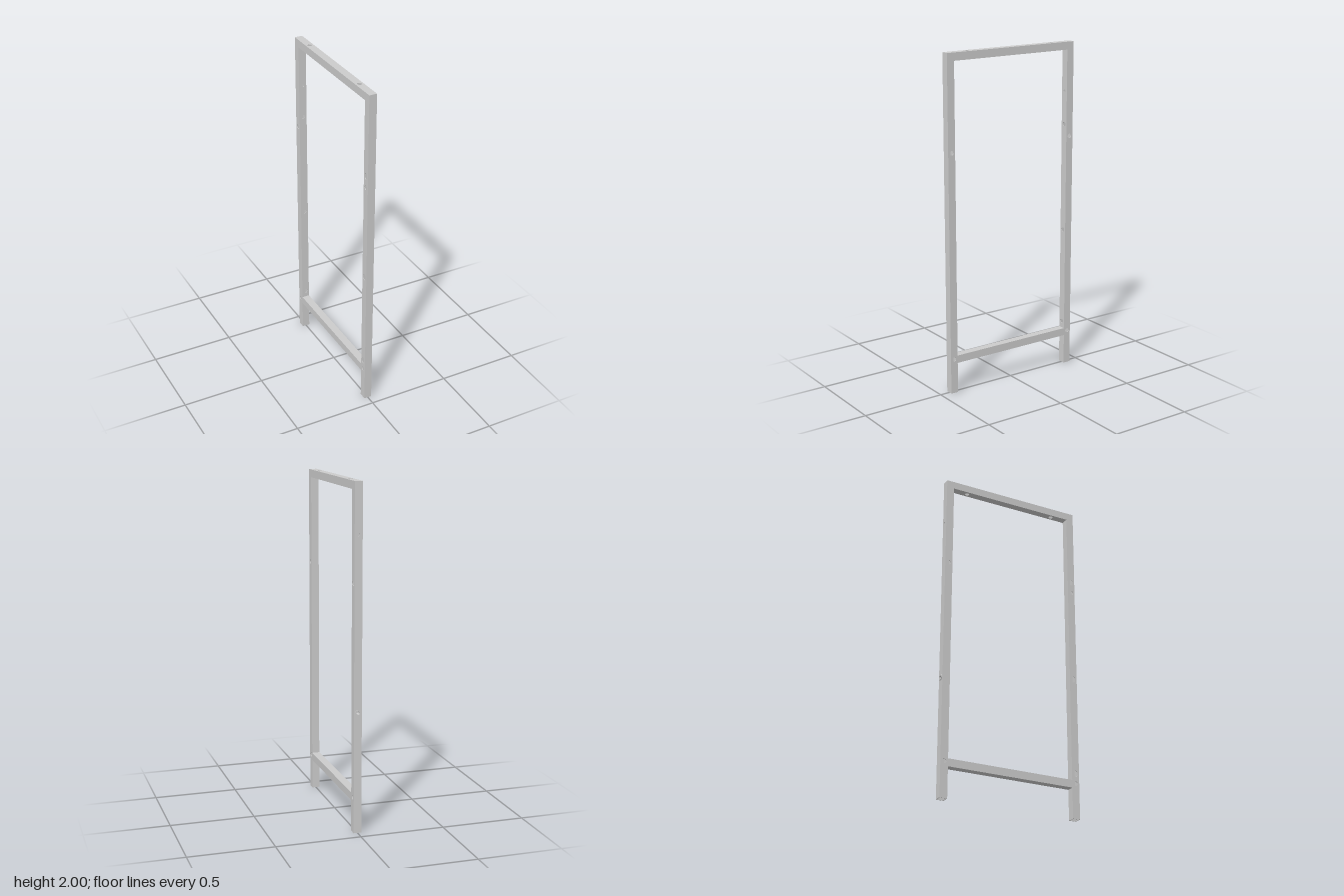
import * as THREE from 'three';

const W = 0.046;   // tube width
const T = 0.003;   // wall thickness
const TOP = 2 - W; // underside of the top rail
const FRONT = 0.417, BACK = -0.413; // post centres

const material = new THREE.MeshStandardMaterial({ color: 0xcccccc, side: THREE.DoubleSide });
const ANGLES = { zPos: 0, xPos: Math.PI / 2, zNeg: Math.PI, xNeg: -Math.PI / 2 };

function mesh(geometry, name) {
  const m = new THREE.Mesh(geometry, material);
  m.name = name;
  return m;
}

// One wall of a tube; holes are { y, r, slot } with slot = extra length
function wall(width, length, holes) {
  const shape = new THREE.Shape();
  shape.moveTo(-width / 2, 0);
  shape.lineTo(width / 2, 0);
  shape.lineTo(width / 2, length);
  shape.lineTo(-width / 2, length);
  shape.closePath();
  for (const { y, r, slot = 0 } of holes) {
    const hole = new THREE.Path();
    hole.absarc(0, y + slot / 2, r, 0, Math.PI, false);
    hole.absarc(0, y - slot / 2, r, Math.PI, Math.PI * 2, false);
    hole.closePath();
    shape.holes.push(hole);
  }
  return new THREE.ExtrudeGeometry(shape, { depth: T, bevelEnabled: false, curveSegments: 12 });
}

// Hollow square tube running up local y
function tube(name, length, holes = {}) {
  const group = new THREE.Group();
  group.name = name;
  for (const [side, angle] of Object.entries(ANGLES)) {
    const width = side[0] === 'x' ? W : W - 2 * T;
    const g = wall(width, length, holes[side] ?? []);
    g.translate(0, 0, W / 2 - T).rotateY(angle);
    group.add(mesh(g, name + 'Wall'));
  }
  return group;
}

export function createModel() {
  const model = new THREE.Group();
  model.name = 'frame';

  // Holes drilled across both posts
  const cross = [0.21, 1.44].map((y) => ({ y, r: 0.013 }));
  const mounts = [0.27, 0.86, 1.51];
  const small = { y: 1.71, r: 0.008 };
  const nutY = 0.71;

  // Posts, open at the feet
  const frontPost = tube('frontPost', TOP, {
    xPos: cross,
    xNeg: [...cross, ...mounts.map((y) => ({ y, r: 0.012, slot: 0.016 }))],
  });
  frontPost.position.z = FRONT;
  const backPost = tube('backPost', TOP, {
    xPos: cross,
    xNeg: cross,
    zPos: [...mounts.map((y) => ({ y, r: 0.013 })), small],
    zNeg: [small, { y: nutY, r: 0.013 }],
  });
  backPost.position.z = BACK;
  model.add(frontPost, backPost);

  // Top rail with two vertical holes and closed ends
  const start = BACK - W / 2;
  const railLength = FRONT - BACK + W;
  const railHoles = [-0.292, 0.292].map((z) => ({ y: z - start, r: 0.0125 }));
  const topRail = tube('topRail', railLength, { zPos: railHoles, zNeg: railHoles });
  for (const y of [T / 2, railLength - T / 2]) {
    const cap = mesh(new THREE.BoxGeometry(W - 2 * T, T, W - 2 * T), 'railEnd');
    cap.position.y = y;
    topRail.add(cap);
  }
  topRail.rotation.x = Math.PI / 2;
  topRail.position.set(0, 2 - W / 2, start);

  // Lower rail between the posts
  const lowerRail = tube('lowerRail', FRONT - BACK - W);
  lowerRail.rotation.x = Math.PI / 2;
  lowerRail.position.set(0, 0.206, BACK + W / 2);
  model.add(topRail, lowerRail);

  // Threaded insert with a flange on the outside of the back post
  const profile = [
    [0.009, -0.028], [0.013, -0.028], [0.013, 0], [0.018, 0],
    [0.018, 0.004], [0.009, 0.004], [0.009, -0.028],
  ].map(([r, y]) => new THREE.Vector2(r, y));
  const insert = mesh(new THREE.LatheGeometry(profile, 24).toNonIndexed(), 'threadedInsert');
  insert.geometry.computeVertexNormals();
  insert.rotation.x = -Math.PI / 2;
  insert.position.set(0, nutY, start);
  model.add(insert);

  return model;
}
